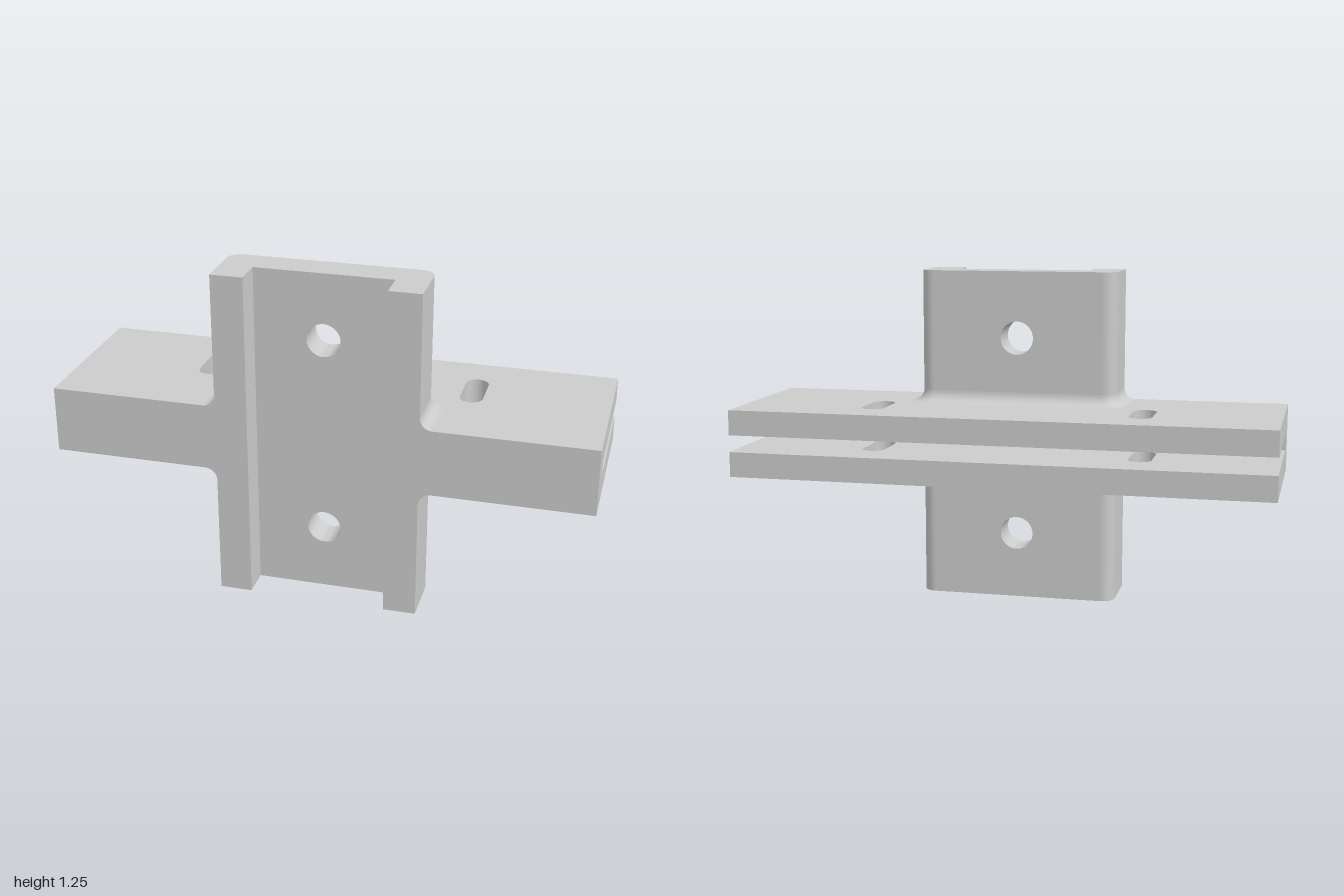
import * as THREE from 'three';
import { toCreasedNormals } from 'three/addons/utils/BufferGeometryUtils.js';

const MID = 0.625;                        // height of the symmetry plane
const W = 1, D = 0.3125;                  // half width and half depth of the plates
const COL = 0.375, BACK = 0.0775;         // column half width and back face
const CH = 0.255, FLOOR = 0.2;            // channel half width and floor
const R = 0.05, FILLET = 0.045;           // column corner and root fillet radii
const SLIT = 0.0315, PLATE = 0.125, TOP = 0.625; // heights above the symmetry plane

const material = new THREE.MeshStandardMaterial({ color: 0xcccccc });

function add(group, name, geometry) {
  const mesh = new THREE.Mesh(toCreasedNormals(geometry, 0.5), material);
  mesh.name = name;
  group.add(mesh);
}

// Shape from [x, z] points, laid out so that it can be extruded upwards
const planShape = (pts) => new THREE.Shape(pts.map(([x, z]) => new THREE.Vector2(x, -z)));

function slab(shape, y0, y1) {
  const g = new THREE.ExtrudeGeometry(shape, { depth: y1 - y0, bevelEnabled: false, curveSegments: 16 });
  return g.rotateX(-Math.PI / 2).translate(0, y0, 0);
}

// Rounded back corner on one side, grown outwards by o
function corner(side, o) {
  const pts = [];
  for (let i = 0; i <= 10; i++) {
    const a = (i / 10) * Math.PI / 2;
    pts.push([side * (COL - R + (R + o) * Math.cos(a)), BACK + R - (R + o) * Math.sin(a)]);
  }
  return pts;
}

const channel = [[CH, D], [CH, FLOOR], [-CH, FLOOR], [-CH, D]];

// Column cross-section with its outer wall grown by o
const section = (o) => [
  [-COL - o, D], ...corner(-1, o), ...corner(1, o).reverse(), [COL + o, D], ...channel,
];

// Flared ring blending the column into the plate
function filletGeometry() {
  const rings = [];
  for (let i = 0; i <= 10; i++) {
    const t = (i / 10) * Math.PI / 2;
    const y = PLATE + FILLET * (1 - Math.cos(t));
    rings.push(section(FILLET * (1 - Math.sin(t))).map(([x, z]) => [x, y, z]));
  }
  const pos = [];
  for (let i = 0; i < rings.length - 1; i++) {
    const lo = rings[i], hi = rings[i + 1];
    for (let j = 0; j < lo.length; j++) {
      const k = (j + 1) % lo.length;
      pos.push(...lo[j], ...hi[j], ...lo[k], ...lo[k], ...hi[j], ...hi[k]);
    }
  }
  const g = new THREE.BufferGeometry();
  g.setAttribute('position', new THREE.Float32BufferAttribute(pos, 3));
  return g;
}

// Elongated mounting hole in a plate
function slotHole(x) {
  const r = 0.0425, z0 = -0.17 + r, z1 = 0.04 - r;
  const p = new THREE.Path();
  p.absarc(x, -z0, r, 0, Math.PI);
  p.absarc(x, -z1, r, Math.PI, Math.PI * 2);
  p.closePath();
  return p;
}

function buildHalf() {
  const half = new THREE.Group();

  // Plate with channel notch and two slots
  const plate = planShape([[-W, D], [-W, -D], [W, -D], [W, D], ...channel]);
  plate.holes.push(slotHole(-0.5), slotHole(0.5));
  add(half, 'plate', slab(plate, SLIT, PLATE));

  // Front spine closing the slit between the plates
  add(half, 'spine', slab(planShape([[-W, D], [-W, 0.19], [W, 0.19], [W, D],
    ...channel]), 0, SLIT));

  // Column web with a round bolt hole
  const x = COL - R;
  const web = new THREE.Shape([[-x, PLATE], [x, PLATE], [x, TOP], [-x, TOP]]
    .map(([a, b]) => new THREE.Vector2(a, b)));
  web.holes.push(new THREE.Path().absarc(0, 0.375, 0.0625, 0, Math.PI * 2));
  add(half, 'web', new THREE.ExtrudeGeometry(web,
    { depth: FLOOR - BACK, bevelEnabled: false, curveSegments: 40 }).translate(0, 0, BACK));

  // Column flanges with rounded back corners
  for (const s of [-1, 1]) {
    const flange = planShape([...corner(s, 0), [s * x, FLOOR], [s * CH, FLOOR], [s * CH, D], [s * COL, D]]);
    add(half, s > 0 ? 'leftFlange' : 'rightFlange', slab(flange, PLATE, TOP));
  }

  add(half, 'rootFillet', filletGeometry());
  return half;
}

export function createModel() {
  const model = new THREE.Group();
  model.name = 'bracket';

  // The lower half is the upper one turned over
  const upper = buildHalf(), lower = buildHalf();
  upper.name = 'upperHalf';
  lower.name = 'lowerHalf';
  lower.rotation.z = Math.PI;
  upper.position.y = lower.position.y = MID;
  model.add(upper, lower);
  return model;
}
